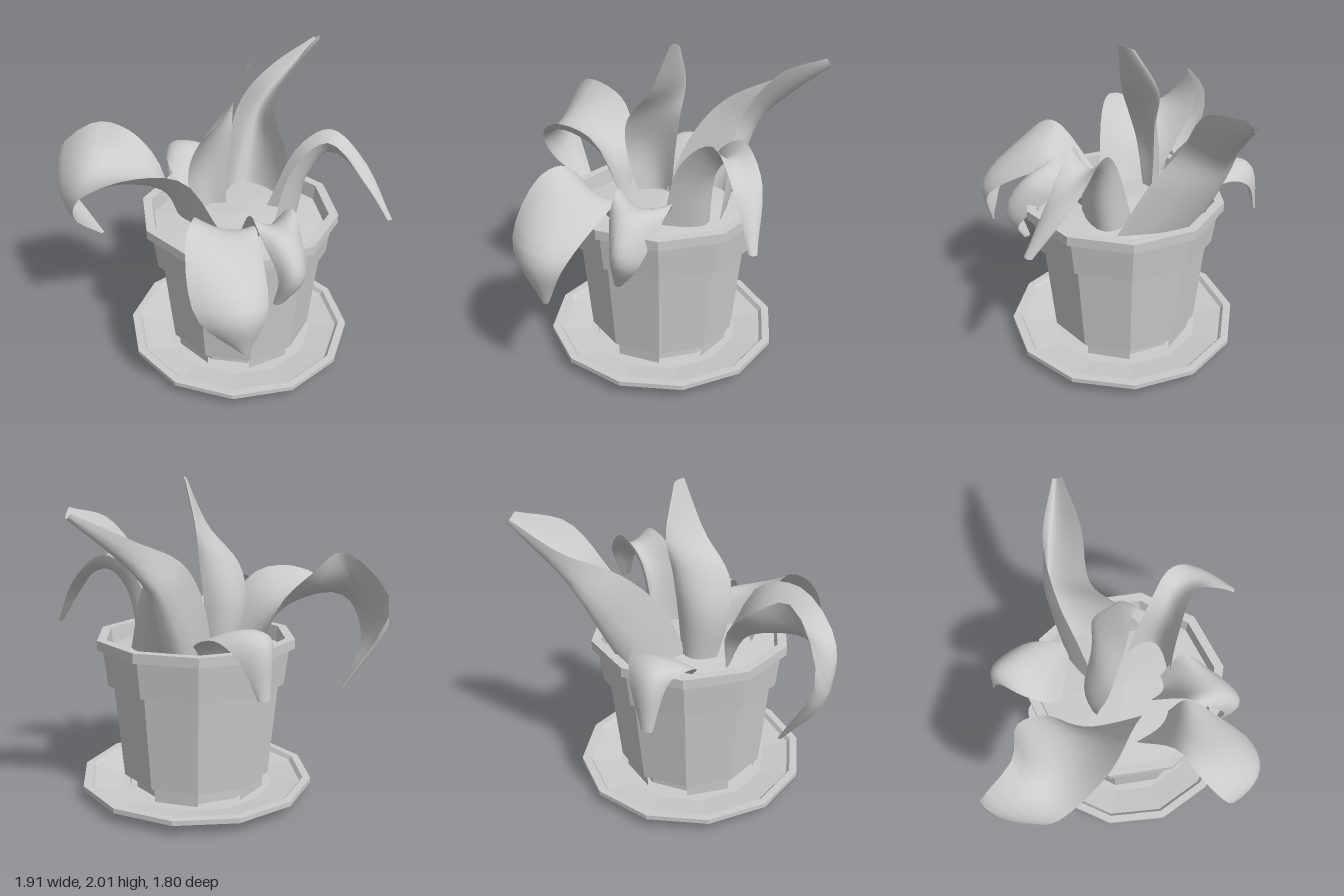
import * as THREE from 'three';
import { mergeGeometries } from 'three/addons/utils/BufferGeometryUtils.js';

const CX = 0.05, CZ = -0.026; // axis of pot and saucer
const flat = new THREE.MeshStandardMaterial({ color: 0xcccccc, flatShading: true, side: THREE.DoubleSide });
const smooth = new THREE.MeshStandardMaterial({ color: 0xcccccc, side: THREE.DoubleSide });

// Faceted turned part; a corner sits on the x axis by default
function turned(name, profile, sides, start = Math.PI / 2, length = Math.PI * 2) {
  const pts = profile.map(([r, y]) => new THREE.Vector2(r, y));
  const mesh = new THREE.Mesh(new THREE.LatheGeometry(pts, sides, start, length), flat);
  mesh.name = name;
  mesh.position.set(CX, 0, CZ);
  return mesh;
}

const curve = (pts) => new THREE.CatmullRomCurve3(pts.map((p) => new THREE.Vector3(...p)));

// Curved leaf lofted through one edge, the midrib and the other edge, thickest at the midrib
function leaf(name, edgeA, midrib, edgeB) {
  const cols = 8, rows = 18, half = 0.009;
  const [A, K, B] = [edgeA, midrib, edgeB].map(curve);
  const sheet = new THREE.PlaneGeometry(1, 1, cols, rows);
  const pos = sheet.attributes.position;
  for (let i = 0; i < pos.count; i++) {
    const u = Math.floor(i / (cols + 1)) / rows, v = (i % (cols + 1)) / cols;
    const p = A.getPoint(u).multiplyScalar((1 - v) * (1 - 2 * v))
      .addScaledVector(K.getPoint(u), 4 * v * (1 - v))
      .addScaledVector(B.getPoint(u), v * (2 * v - 1));
    pos.setXYZ(i, p.x, p.y, p.z);
  }
  sheet.computeVertexNormals();
  const faces = [1, -1].map((side) => {
    const g = sheet.clone(), p = g.attributes.position, n = sheet.attributes.normal;
    for (let i = 0; i < p.count; i++) {
      const v = (i % (cols + 1)) / cols, d = side * half * Math.sqrt(Math.max(0, Math.sin(Math.PI * v)));
      p.setXYZ(i, p.getX(i) + n.getX(i) * d, p.getY(i) + n.getY(i) * d, p.getZ(i) + n.getZ(i) * d);
    }
    if (side < 0) g.index.array.reverse();
    g.computeVertexNormals();
    return g;
  });
  const mesh = new THREE.Mesh(mergeGeometries(faces), smooth);
  mesh.name = name;
  return mesh;
}

export function createModel() {
  const model = new THREE.Group();
  model.name = 'pottedPlant';

  // Twelve-sided saucer
  model.add(turned('saucer', [
    [0, 0], [0.53, 0.01], [0.75, 0.07], [0.75, 0.1], [0.7, 0.1], [0.68, 0.075], [0.5, 0.045], [0, 0.04],
  ], 12));

  // Ten-sided pot with a stepped collar and rim
  model.add(turned('pot', [
    [0, 0.14], [0.48, 0.14], [0.537, 0.74], [0.572, 0.74], [0.6, 0.97], [0.635, 0.97], [0.635, 1.03],
    [0.575, 1.03], [0.56, 0.9],
  ], 10));

  // Feet under every second face, around a recessed base
  model.add(turned('potBase', [[0.4, 0.04], [0.4, 0.15]], 10));
  const feet = new THREE.Group();
  feet.name = 'potFeet';
  for (let i = 0; i < 5; i++) {
    feet.add(turned('potFoot', [[0.37, 0.045], [0.445, 0.045], [0.45, 0.14], [0.37, 0.14], [0.37, 0.045]],
      1, (i * 2 - 0.5) * Math.PI / 5, Math.PI / 5));
  }
  model.add(feet);

  // Slightly mounded soil
  model.add(turned('soil', [[0.565, 0.93], [0.3, 0.955], [0, 0.975]], 10));

  // Leaves, each from base to tip
  model.add(
    leaf('uprightLeaf',
      [[-0.18, 0.93, -0.18], [-0.25, 1.25, -0.14], [-0.22, 1.47, -0.08], [-0.04, 1.7, -0.02], [0.1, 2, 0.01]],
      [[-0.06, 0.93, -0.25], [-0.1, 1.25, -0.25], [-0.04, 1.5, -0.2], [0.07, 1.72, -0.16], [0.12, 2, -0.04]],
      [[0.04, 0.93, -0.2], [0.06, 1.25, -0.21], [0.09, 1.5, -0.21], [0.12, 1.71, -0.23], [0.13, 1.98, -0.08]]),
    // Deep trough whose front edge rises toward the tip
    leaf('longBackLeaf',
      [[0, 0.95, -0.2], [0.12, 1.32, -0.33], [0.3, 1.55, -0.48], [0.6, 1.69, -0.61], [0.92, 1.84, -0.6]],
      [[0.3, 0.9, -0.44], [0.41, 1.2, -0.54], [0.5, 1.41, -0.59], [0.7, 1.62, -0.57], [0.94, 1.82, -0.58]],
      [[0.45, 0.95, 0.05], [0.45, 1.28, -0.14], [0.46, 1.5, -0.31], [0.67, 1.79, -0.39], [0.92, 1.87, -0.54]]),
    leaf('rightDroopingLeaf',
      [[0.27, 0.95, -0.06], [0.43, 1.42, 0.06], [0.6, 1.53, 0.14], [0.75, 1.37, 0.28], [0.81, 1.05, 0.54]],
      [[0.38, 0.95, 0.12], [0.42, 1.3, 0.18], [0.54, 1.44, 0.22], [0.71, 1.33, 0.38], [0.8, 1.05, 0.57]],
      [[0.14, 0.95, 0.24], [0.26, 1.38, 0.26], [0.47, 1.54, 0.31], [0.67, 1.27, 0.47], [0.77, 1.06, 0.58]]),
    leaf('frontDroopingLeaf',
      [[-0.03, 0.95, 0.14], [-0.08, 1.22, 0.38], [-0.08, 1.14, 0.5], [-0.03, 0.92, 0.63], [-0.03, 0.7, 0.58]],
      [[0.05, 0.95, 0.22], [0.06, 1.13, 0.41], [0.06, 1.13, 0.57], [0.05, 0.94, 0.71], [0, 0.7, 0.6]],
      [[0.14, 0.95, 0.18], [0.24, 1.15, 0.31], [0.21, 1.06, 0.47], [0.15, 0.87, 0.64], [0.04, 0.72, 0.61]]),
    leaf('frontBroadLeaf',
      [[-0.32, 0.95, 0.1], [-0.44, 1.31, 0.37], [-0.55, 1.26, 0.5], [-0.61, 0.93, 0.74], [-0.37, 0.64, 0.84]],
      [[-0.2, 0.95, 0.24], [-0.25, 1.18, 0.4], [-0.32, 1.16, 0.6], [-0.41, 0.94, 0.87], [-0.35, 0.64, 0.84]],
      [[-0.08, 0.95, 0.27], [-0.06, 1.15, 0.38], [-0.11, 1.1, 0.56], [-0.22, 0.9, 0.85], [-0.33, 0.65, 0.84]]),
    leaf('leftBroadLeaf',
      [[-0.14, 0.95, 0.11], [-0.38, 1.37, 0.08], [-0.65, 1.42, 0], [-0.92, 1.23, -0.24], [-0.93, 1, -0.4],
        [-0.72, 0.74, -0.55]],
      [[-0.25, 0.95, -0.12], [-0.4, 1.19, -0.2], [-0.62, 1.29, -0.3], [-0.84, 1.3, -0.42], [-0.95, 1.1, -0.6],
        [-0.71, 0.74, -0.56]],
      [[-0.28, 0.95, -0.28], [-0.34, 1.28, -0.46], [-0.48, 1.46, -0.57], [-0.7, 1.57, -0.53], [-0.92, 1.28, -0.72],
        [-0.7, 0.74, -0.57]]),
    leaf('backDroopingLeaf',
      [[-0.12, 0.95, -0.42], [-0.18, 1.04, -0.5], [-0.18, 1.11, -0.65], [-0.13, 1.1, -0.79], [-0.07, 0.83, -0.9]],
      [[0, 0.97, -0.43], [0, 1.09, -0.53], [-0.02, 1.18, -0.7], [-0.04, 1.13, -0.85], [-0.03, 0.83, -0.9]],
      [[0.14, 0.95, -0.41], [0.22, 1.05, -0.46], [0.17, 1.13, -0.67], [0.09, 1.05, -0.82], [0, 0.83, -0.89]]),
  );
  return model;
}
